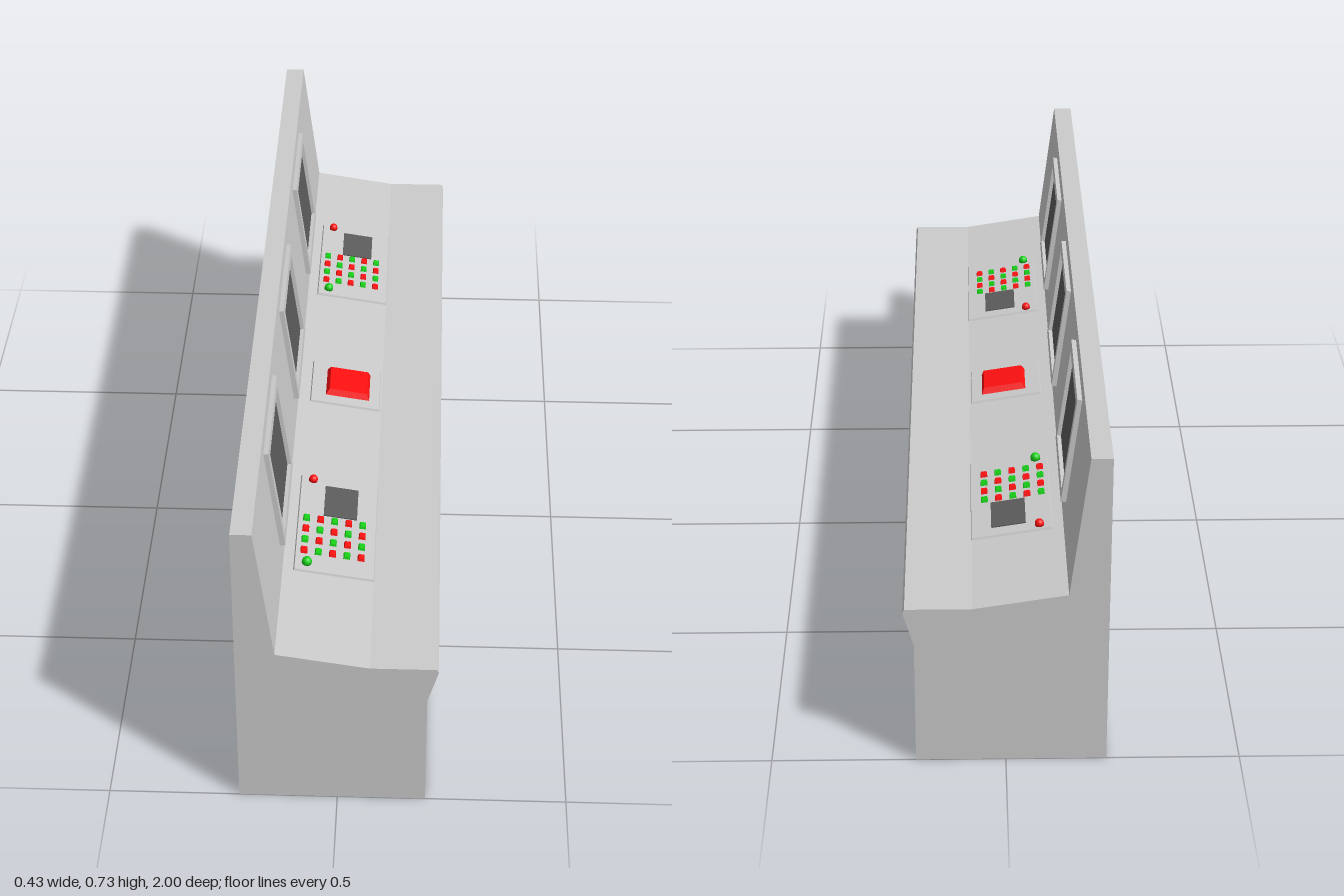
import * as THREE from 'three';

const grey = new THREE.MeshStandardMaterial({ color: 0xcccccc });
const dark = new THREE.MeshStandardMaterial({ color: 0x5c5c5c });
const red = new THREE.MeshStandardMaterial({ color: 0xff1010 });
const green = new THREE.MeshStandardMaterial({ color: 0x18d018 });

function add(parent, name, geometry, material, x = 0, y = 0, z = 0) {
  const mesh = new THREE.Mesh(geometry, material);
  mesh.name = name;
  mesh.position.set(x, y, z);
  parent.add(mesh);
  return mesh;
}

const box = (w, h, d) => new THREE.BoxGeometry(w, h, d);

// Box whose top is inset on all four sides, standing on y = 0
function taperedBox(w, h, d, inset) {
  const g = box(w, h, d).translate(0, h / 2, 0);
  const p = g.attributes.position;
  for (let i = 0; i < p.count; i++) {
    if (p.getY(i) > h / 2) {
      p.setX(i, p.getX(i) - Math.sign(p.getX(i)) * inset);
      p.setZ(i, p.getZ(i) - Math.sign(p.getZ(i)) * inset);
    }
  }
  g.computeVertexNormals();
  return g;
}

// Desk and back wall: one side profile run along z
function makeBody() {
  const profile = [
    [-0.215, 0], [0.192, 0], [0.192, 0.29], [0.215, 0.37], [0.211, 0.378],
    [0.07, 0.378], [-0.13, 0.41], [-0.17, 0.73], [-0.215, 0.73],
  ].map(([x, y]) => new THREE.Vector2(x, y));
  return new THREE.ExtrudeGeometry(new THREE.Shape(profile), { depth: 2, bevelEnabled: false })
    .translate(0, 0, -1);
}

// Wall monitor: open frame around a recessed dark screen
function makeMonitor() {
  const monitor = new THREE.Group();
  monitor.name = 'monitor';
  const rect = (Kind, w, h) => new Kind([
    new THREE.Vector2(-w / 2, -h / 2), new THREE.Vector2(w / 2, -h / 2),
    new THREE.Vector2(w / 2, h / 2), new THREE.Vector2(-w / 2, h / 2),
  ]);
  const outline = rect(THREE.Shape, 0.292, 0.25);
  outline.holes.push(rect(THREE.Path, 0.248, 0.214));
  const frame = new THREE.ExtrudeGeometry(outline, { depth: 0.013, bevelEnabled: false }).rotateY(Math.PI / 2);
  add(monitor, 'monitorFrame', frame, grey);
  add(monitor, 'screen', box(0.006, 0.214, 0.248), dark, 0.001);
  return monitor;
}

// Short post with a round cap
function addKnob(parent, name, material, x, z, r) {
  const outline = [[0, 0], [r, 0], [r, 0.005]];
  for (let i = 1; i <= 5; i++) {
    const a = (i / 5) * Math.PI / 2;
    outline.push([r * Math.cos(a), 0.005 + r * Math.sin(a)]);
  }
  const points = outline.map(([px, py]) => new THREE.Vector2(Math.max(px, 0), py));
  add(parent, name, new THREE.LatheGeometry(points, 16), material, x, 0.005, z);
}

// Keyboard panel: plate, small display, grid of buttons and two knobs
function makeControlPanel() {
  const panel = new THREE.Group();
  panel.name = 'controlPanel';
  add(panel, 'panelPlate', taperedBox(0.18, 0.005, 0.34, 0.002), grey);
  add(panel, 'panelDisplay', box(0.076, 0.003, 0.107), dark, 0.006, 0.006, -0.083);
  for (let row = 0; row < 4; row++) {
    for (let col = 0; col < 5; col++) {
      add(panel, 'button', taperedBox(0.016, 0.007, 0.02, 0.002),
        (row + col) % 2 ? red : green, -0.07 + col * 0.032, 0.004, -0.012 + row * 0.038);
    }
  }
  addKnob(panel, 'redKnob', red, -0.062, -0.153, 0.01);
  addKnob(panel, 'greenKnob', green, -0.062, 0.143, 0.011);
  return panel;
}

// Large central push button on its own plate
function makeMainButton() {
  const group = new THREE.Group();
  group.name = 'mainButton';
  add(group, 'mainButtonPlate', taperedBox(0.17, 0.005, 0.17, 0.002), grey);
  add(group, 'mainButtonCap', taperedBox(0.106, 0.014, 0.106, 0.007), red, 0.005, 0.005);
  return group;
}

export function createModel() {
  const model = new THREE.Group();
  model.name = 'controlConsole';
  add(model, 'consoleBody', makeBody(), grey);

  // Monitors lean with the back wall
  for (const z of [-0.55, 0, 0.55]) {
    const monitor = makeMonitor();
    monitor.position.set(-0.153, 0.58, z);
    monitor.rotation.z = 0.13;
    model.add(monitor);
  }

  // Controls lie on the sloping part of the desk
  for (const z of [-0.555, 0, 0.55]) {
    const controls = z === 0 ? makeMainButton() : makeControlPanel();
    controls.position.set(-0.018, 0.392, z);
    controls.rotation.z = -0.159;
    model.add(controls);
  }
  return model;
}
